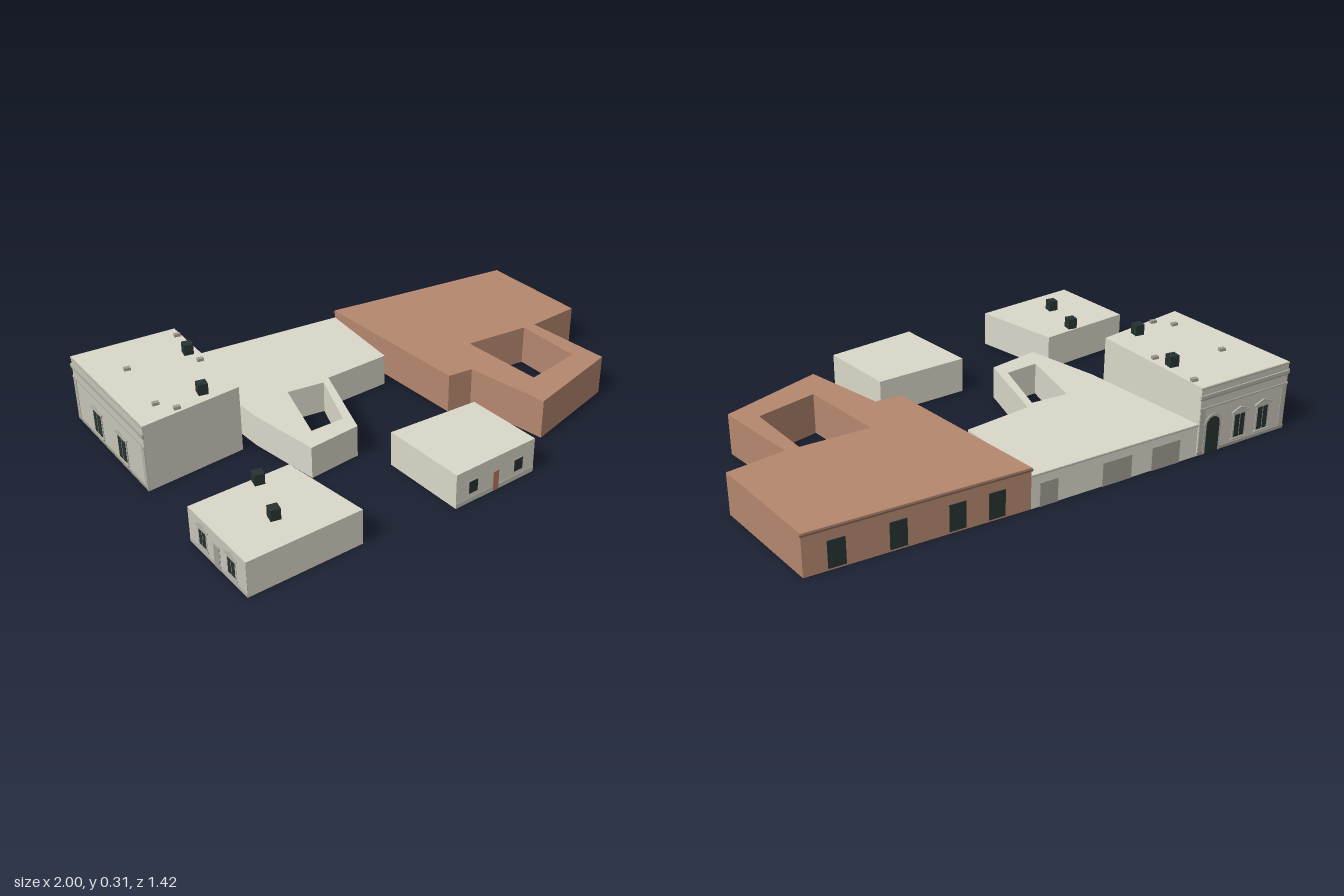
import * as THREE from 'three';

const mat = (name, color) => Object.assign(new THREE.MeshStandardMaterial({ color }), { name });

export function createModel() {
  const stone = mat('stone', 0xdad8c9);
  const facade = mat('street facade', 0xc6c4b7);
  const trim = mat('stone trim', 0xb4b2a6);
  const panel = mat('grey panel', 0x9f9d92);
  const brown = mat('brown plaster', 0xb4876f);
  const brownTrim = mat('dark brown trim', 0x80604f);
  const dark = mat('dark glass', 0x263231);
  const wood = mat('door wood', 0xb57c64);

  const model = new THREE.Group();
  model.name = 'buildingBlock';

  const add = (parent, name, geometry, material, x = 0, y = 0, z = 0) => {
    const mesh = new THREE.Mesh(geometry, material);
    mesh.name = name;
    mesh.position.set(x, y, z);
    parent.add(mesh);
  };

  // Flat-roofed volume from a plan outline of [x, z] points; the court runs the other way round
  const block = (name, plan, height, material, court) => {
    const points = (list) => list.map(([x, z]) => new THREE.Vector2(x, -z));
    const shape = new THREE.Shape(points(plan));
    if (court) shape.holes.push(new THREE.Path(points(court).reverse()));
    const g = new THREE.ExtrudeGeometry(shape, { depth: height, bevelEnabled: false });
    g.rotateX(-Math.PI / 2);
    add(model, name, g, material);
  };

  // Group whose x runs along a wall and whose +z points out of it
  const wall = (name, [x0, z0], [x1, z1]) => {
    const g = new THREE.Group();
    g.name = name;
    g.position.set(x0, 0, z0);
    g.rotation.y = Math.atan2(z0 - z1, x1 - x0);
    g.userData.length = Math.hypot(x1 - x0, z1 - z0);
    model.add(g);
    return g;
  };

  // Plate on a wall: centre x, bottom y, width, height, projection
  const plate = (w, name, material, x, y, width, height, depth) =>
    add(w, name, new THREE.BoxGeometry(width, height, depth), material, x, y + height / 2, depth / 2);

  const band = (w, name, material, y, height, depth) =>
    plate(w, name, material, w.userData.length / 2, y, w.userData.length + depth, height, depth);

  const flatShape = (w, name, points, material, x, y, depth) => {
    const shape = new THREE.Shape(points.map(([px, py]) => new THREE.Vector2(px, py)));
    add(w, name, new THREE.ExtrudeGeometry(shape, { depth, bevelEnabled: false }), material, x, y, 0);
  };

  // Ornate window with surround, sill, glazing bar and pediment; relief scales the projection
  const ornateWindow = (w, x, y, width, height, relief) => {
    const h = width / 2 + 0.016;
    plate(w, 'windowSurround', trim, x, y - 0.004, width + 0.014, height + 0.01, 0.005 * relief);
    plate(w, 'windowGlass', dark, x, y, width, height, 0.006 * relief);
    plate(w, 'windowBar', panel, x, y, 0.002, height, 0.007 * relief);
    plate(w, 'windowSill', trim, x, y - 0.01, width + 0.024, 0.006, 0.009 * relief);
    plate(w, 'windowLintel', trim, x, y + height + 0.008, h * 2, 0.006, 0.009 * relief);
    flatShape(w, 'windowPediment', [[-h, 0], [h, 0], [0, 0.016]], trim, x, y + height + 0.014, 0.008 * relief);
  };

  // Building volumes
  const tall = [[-0.993, -0.521], [-0.588, -0.571], [-0.502, -0.064], [-0.878, 0.046]];
  const middle = [[-0.583, -0.574], [0.102, -0.643], [0.157, -0.273], [-0.106, -0.208],
    [-0.138, 0.142], [-0.338, 0.204], [-0.448, -0.071]];
  const large = [[0.102, -0.643], [0.892, -0.702], [0.999, -0.264], [0.787, -0.206],
    [0.892, 0.126], [0.522, 0.312], [0.392, 0.004], [0.292, 0.012]];
  const southWest = [[-0.828, 0.365], [-0.448, 0.279], [-0.322, 0.611], [-0.75, 0.708]];
  const southEast = [[-0.053, 0.242], [0.307, 0.184], [0.387, 0.482], [0.037, 0.569]];
  block('tallHouse', tall, 0.265, stone);
  block('middleHouse', middle, 0.127, stone,
    [[-0.283, -0.174], [-0.135, -0.184], [-0.166, 0.076], [-0.298, 0.104]]);
  block('largeBrownHouse', large, 0.158, brown,
    [[0.477, -0.174], [0.737, -0.201], [0.797, 0.066], [0.574, 0.152]]);
  block('southWestHouse', southWest, 0.138, stone);
  block('southEastHouse', southEast, 0.138, stone);

  // Tall house: two ornate street walls
  const tallNorth = wall('tallHouseNorthWall', tall[1], tall[0]);
  const tallWest = wall('tallHouseWestWall', tall[0], tall[3]);
  for (const w of [tallNorth, tallWest]) {
    const length = w.userData.length;
    plate(w, 'facade', facade, length / 2, 0, length, 0.264, 0.002);
    band(w, 'plinth', panel, 0, 0.012, 0.004);
    band(w, 'stringCourse', trim, 0.178, 0.007, 0.005);
    band(w, 'frieze', panel, 0.215, 0.008, 0.004);
    band(w, 'cornice', trim, 0.223, 0.012, 0.007);
    band(w, 'parapetCap', trim, 0.257, 0.007, 0.004);
    for (const x of [0.012, length - 0.012])
      plate(w, 'cornerPilaster', trim, x, 0.012, 0.022, 0.166, 0.004);
  }
  for (const t of [0.46, 0.73]) ornateWindow(tallNorth, t * tallNorth.userData.length, 0.03, 0.046, 0.088, 1);
  for (const t of [0.33, 0.68]) ornateWindow(tallWest, t * tallWest.userData.length, 0.03, 0.06, 0.088, 1);

  // Arched entrance
  const arch = (half, height) => {
    const pts = [[-half, 0], [half, 0]];
    for (let i = 0; i <= 10; i++) {
      const a = (i / 10) * Math.PI;
      pts.push([half * Math.cos(a), height - half + half * Math.sin(a)]);
    }
    return pts;
  };
  const doorX = 0.15 * tallNorth.userData.length;
  flatShape(tallNorth, 'entranceSurround', arch(0.038, 0.152), trim, doorX, 0, 0.005);
  flatShape(tallNorth, 'entranceDoor', arch(0.029, 0.142), dark, doorX, 0, 0.007);

  // Middle house: street wall with closed panels
  const midNorth = wall('middleHouseNorthWall', middle[1], middle[0]);
  band(midNorth, 'wallCap', trim, 0.121, 0.005, 0.003);
  for (const [t, width] of [[0.1, 0.07], [0.5, 0.12], [0.8, 0.12]])
    plate(midNorth, 'gatePanel', panel, t * midNorth.userData.length, 0, width, 0.09, 0.003);

  // Large brown house: dark openings below a projecting eave
  const largeNorth = wall('largeHouseNorthWall', large[1], large[0]);
  band(largeNorth, 'eave', brownTrim, 0.146, 0.007, 0.006);
  band(largeNorth, 'eaveCap', brown, 0.153, 0.005, 0.003);
  for (const t of [0.14, 0.4, 0.66, 0.84])
    plate(largeNorth, 'openingGlass', dark, t * largeNorth.userData.length, 0.008, 0.06, 0.098, 0.003);

  // South-west house: west wall
  const swWest = wall('southWestHouseWestWall', southWest[0], southWest[3]);
  const swLen = swWest.userData.length;
  plate(swWest, 'facade', facade, swLen / 2, 0, swLen, 0.137, 0.001);
  plate(swWest, 'plinth', trim, swLen / 2, 0, swLen, 0.015, 0.0018);
  for (const t of [0.25, 0.75]) ornateWindow(swWest, t * swLen, 0.032, 0.042, 0.06, 0.4);
  plate(swWest, 'doorSurround', trim, swLen / 2, 0, 0.042, 0.094, 0.002);
  plate(swWest, 'door', panel, swLen / 2, 0, 0.032, 0.088, 0.003);

  // South-east house: plain front wall
  const seFront = wall('southEastHouseFrontWall', southEast[3], southEast[2]);
  const seLen = seFront.userData.length;
  plate(seFront, 'plinth', facade, seLen / 2, 0, seLen, 0.02, 0.0012);
  for (const t of [0.21, 0.79]) {
    plate(seFront, 'windowSurround', trim, t * seLen, 0.036, 0.044, 0.053, 0.002);
    plate(seFront, 'windowGlass', dark, t * seLen, 0.039, 0.038, 0.047, 0.003);
  }
  plate(seFront, 'door', wood, seLen / 2, 0, 0.025, 0.08, 0.003);

  // Rooftop units and low vents
  for (const [x, z, y] of [[-0.595, -0.371, 0.265], [-0.63, -0.081, 0.265], [-0.577, 0.334, 0.138], [-0.595, 0.534, 0.138]])
    add(model, 'roofUnit', new THREE.BoxGeometry(0.036, 0.042, 0.036), dark, x, y + 0.021, z);
  for (const [x, z] of [[-0.595, -0.511], [-0.83, -0.341], [-0.57, -0.298], [-0.8, -0.071], [-0.74, -0.016]])
    add(model, 'roofVent', new THREE.BoxGeometry(0.024, 0.011, 0.016), panel, x, 0.2705, z);

  return model;
}
